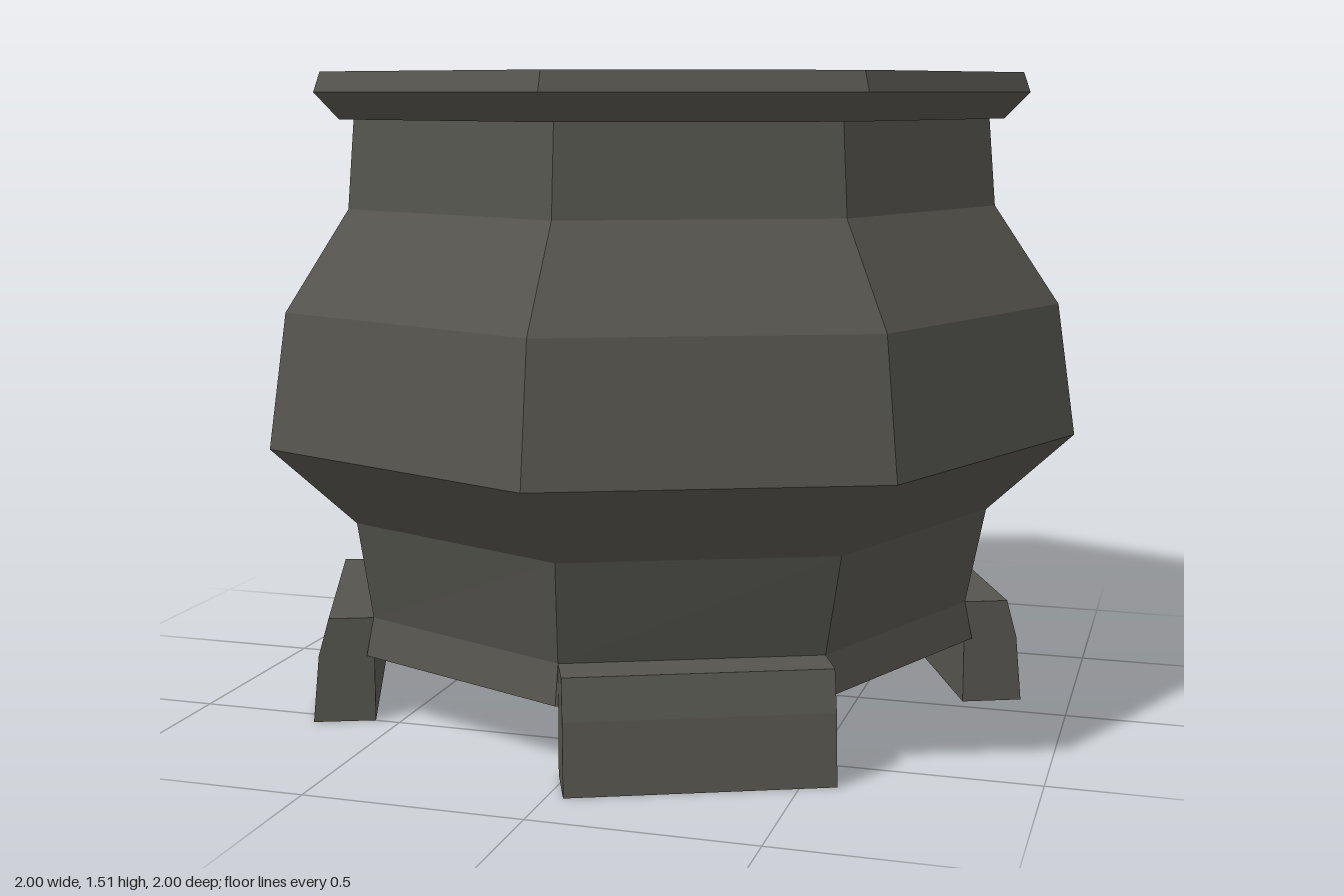
import * as THREE from 'three';

const material = new THREE.MeshStandardMaterial({ color: 0x55544e, flatShading: true });

// Regular octagonal ring with a corner at the front, counterclockwise from above
function octagon(radius, y) {
  return Array.from({ length: 8 }, (_, k) => {
    const a = (k * Math.PI) / 4;
    return new THREE.Vector3(radius * Math.sin(a), y, radius * Math.cos(a));
  });
}

// Skin joining successive rings, with optional end caps
function loft(name, rings, capBottom, capTop) {
  const pos = [];
  const tri = (...corners) => corners.forEach((c) => pos.push(c.x, c.y, c.z));
  for (let r = 0; r < rings.length - 1; r++) {
    const lo = rings[r], hi = rings[r + 1];
    for (let i = 0; i < 8; i++) {
      const j = (i + 1) % 8;
      tri(lo[i], lo[j], hi[j]);
      tri(lo[i], hi[j], hi[i]);
    }
  }
  const first = rings[0], last = rings[rings.length - 1];
  for (let i = 1; i < 7; i++) {
    if (capBottom) tri(first[0], first[i + 1], first[i]);
    if (capTop) tri(last[0], last[i], last[i + 1]);
  }
  const geometry = new THREE.BufferGeometry();
  geometry.setAttribute('position', new THREE.Float32BufferAttribute(pos, 3));
  geometry.computeVertexNormals();
  const mesh = new THREE.Mesh(geometry, material);
  mesh.name = name;
  return mesh;
}

export function createModel() {
  const model = new THREE.Group();
  model.name = 'cauldron';

  // Slightly uneven base ring, flaring a little below the waist
  const base = [
    [-0.02, 0.73], [0.52, 0.5], [0.75, -0.04], [0.52, -0.58],
    [-0.02, -0.67], [-0.52, -0.52], [-0.78, -0.05], [-0.56, 0.5],
  ].map(([x, z]) => new THREE.Vector3(x, 0.25, z));
  const bottom = base.map((p) => new THREE.Vector3(p.x * 1.025, 0.16, p.z * 1.025));

  // Bellied pot
  const belly = [[0.8, 0.49], [1, 0.68], [0.955, 0.985], [0.803, 1.21], [0.785, 1.42]];
  model.add(loft('body', [bottom, base, ...belly.map(([r, y]) => octagon(r, y))], true, false));

  // Overhanging rim with a shallow sunken surface inside
  const rim = [[0.78, 1.41], [0.82, 1.41], [0.878, 1.47], [0.862, 1.515], [0.85, 1.515], [0.83, 1.455]];
  model.add(loft('rim', rim.map(([r, y]) => octagon(r, y)), false, true));

  // Three feet, each along one side of the base
  const profile = new THREE.Shape(
    [[0, 0], [0.145, 0], [0.13, 0.16], [0.105, 0.25], [0, 0.25]].map(([d, y]) => new THREE.Vector2(d, y)),
  );
  for (const [side, name] of [[0, 'frontFoot'], [2, 'leftFoot'], [6, 'rightFoot']]) {
    const p = base[side], q = base[side + 1];
    const length = p.distanceTo(q);
    const geometry = new THREE.ExtrudeGeometry(profile, { depth: length, bevelEnabled: false });
    geometry.translate(0, 0, -length / 2);
    const foot = new THREE.Mesh(geometry, material);
    foot.name = name;
    foot.position.set((p.x + q.x) / 2, 0, (p.z + q.z) / 2);
    foot.rotation.y = Math.atan2(p.x - q.x, p.z - q.z);
    model.add(foot);
  }
  return model;
}
